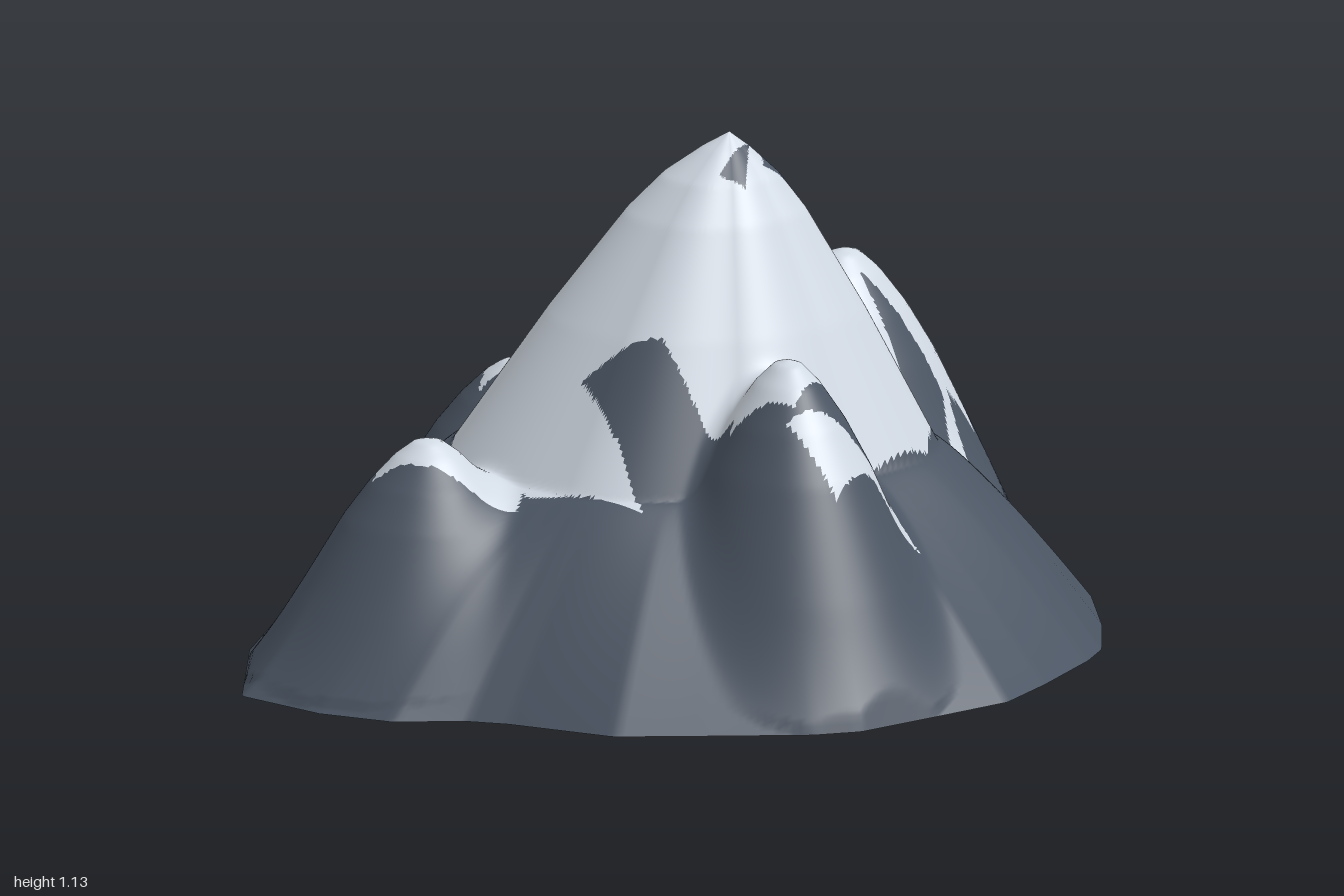
import * as THREE from 'three';

const PEAK = [0.08, 0.14];

// Ground outline, [x, z], running from the back round by +x
const OUTLINE = [[0.16, -0.97], [0.35, -0.82], [0.57, -0.66], [0.67, -0.53], [0.85, -0.38], [0.97, -0.27], [1, -0.2],
  [0.99, 0], [0.97, 0.2], [0.95, 0.34], [0.87, 0.41], [0.82, 0.52], [0.65, 0.7], [0.5, 0.83], [0.41, 0.87],
  [0.2, 0.93], [0.04, 0.965], [-0.15, 0.93], [-0.35, 0.89], [-0.44, 0.83], [-0.6, 0.66], [-0.73, 0.52],
  [-0.8, 0.28], [-0.84, 0.2], [-0.95, 0.08], [-1, -0.08], [-1, -0.3], [-0.85, -0.42], [-0.7, -0.54],
  [-0.58, -0.56], [-0.4, -0.7], [-0.21, -0.78], [-0.13, -0.86]];

// Radius of the 0.43 high contour round the main peak, every 45 degrees from +x towards +z
const CONTOUR = [0.44, 0.45, 0.38, 0.42, 0.53, 0.6, 0.58, 0.6];

// Side peaks: x, z, height, reach away from the summit, reach sideways
const SIDE_PEAKS = [
  [0.59, 0.02, 0.75, 0.5, 0.4],
  [-0.59, -0.13, 0.54, 0.4, 0.38],
  [-0.13, 0.49, 0.73, 0.46, 0.38],
  [0.2, -0.57, 0.48, 0.41, 0.35],
];

// Snow fields seen from above
const SNOW = [
  [[-0.2, -0.38], [0.04, -0.44], [0.25, -0.45], [0.38, -0.33], [0.52, -0.2], [0.5, 0], [0.57, 0.28], [0.5, 0.34],
    [0.42, 0.42], [0.3, 0.51], [0.05, 0.52], [-0.23, 0.46], [-0.23, 0.22], [-0.32, 0.07], [-0.4, 0.32],
    [-0.48, 0.06], [-0.42, -0.17], [-0.36, -0.27]],
  [[-0.69, -0.2], [-0.56, -0.26], [-0.45, -0.15], [-0.4, 0], [-0.52, 0.06], [-0.6, -0.02], [-0.66, -0.1]],
  [[-0.25, 0.43], [-0.1, 0.38], [0, 0.45], [-0.03, 0.54], [-0.2, 0.57]],
  [[-0.23, 0.57], [-0.08, 0.63], [0.04, 0.64], [0.06, 0.7], [-0.06, 0.67], [-0.21, 0.7]],
  [[0.25, -0.67], [0.28, -0.58], [0.23, -0.44], [0.1, -0.53], [0.17, -0.56], [0.11, -0.6]],
  [[0.47, -0.17], [0.6, -0.19], [0.8, -0.18], [0.81, 0.2], [0.72, 0.2], [0.68, 0.3], [0.56, 0.29], [0.47, 0.03]],
];
// Bare rock showing through the snow
const BARE = [
  [[0.11, 0.21], [0.15, 0.17], [0.34, 0.235], [0.53, 0.32], [0.5, 0.35], [0.3, 0.28]],
  [[0, 0.18], [0.11, 0.17], [0.03, 0.23]],
  [[0.57, 0.08], [0.69, 0.21], [0.62, 0.3], [0.56, 0.27]],
  [[0.46, -0.16], [0.51, -0.02], [0.53, 0.06], [0.47, 0.02]],
  [[0.04, -0.23], [0.19, -0.23], [0.18, -0.12], [0.05, -0.16]],
  [[-0.18, -0.385], [0.04, -0.39], [0.05, -0.31]],
];

// Piecewise linear curve through [t, value] points
function curveAt(points, t) {
  for (let i = 1; i < points.length; i++) {
    const [t0, v0] = points[i - 1], [t1, v1] = points[i];
    if (t <= t1) return v0 + (v1 - v0) * (t - t0) / (t1 - t0);
  }
  return points[points.length - 1][1];
}
const MAIN_PROFILE = [[0, 1.13], [0.1, 1.095], [0.24, 1.035], [0.37, 0.955], [0.65, 0.735], [1, 0.43]];
const SIDE_PROFILE = [[0, 1], [0.08, 0.985], [0.18, 0.93], [0.32, 0.82], [0.46, 0.68], [0.72, 0.36], [1, 0]];

function inside(poly, x, z) {
  let hit = false;
  poly.forEach(([x1, z1], i) => {
    const [x2, z2] = poly[(i + 1) % poly.length];
    if ((z1 > z) !== (z2 > z) && x < x1 + (x2 - x1) * (z - z1) / (z2 - z1)) hit = !hit;
  });
  return hit;
}

function contourRadius(angle) {
  const a = ((angle / (Math.PI / 4)) + 8) % 8, i = Math.floor(a), f = a - i;
  const s = f * f * (3 - 2 * f);
  return CONTOUR[i % 8] * (1 - s) + CONTOUR[(i + 1) % 8] * s;
}

// Larger of two heights, with the valley between them softened
function blend(a, b) {
  const k = 0.09, h = Math.max(k - Math.abs(a - b), 0);
  return Math.max(a, b) + h * h / (4 * k);
}

// Terrain height at a point; edge is the outline radius in that direction
function heightAt(x, z, edge) {
  const dx = x - PEAK[0], dz = z - PEAK[1], r = Math.hypot(dx, dz);
  const snowR = contourRadius(Math.atan2(dz, dx));
  let y = r < snowR ? curveAt(MAIN_PROFILE, r / snowR)
    : 0.02 + 0.41 * (1 - Math.pow((r - snowR) / (edge - snowR), 1.2));
  for (const [px, pz, h, reachOut, reachSide] of SIDE_PEAKS) {
    const ox = px - PEAK[0], oz = pz - PEAK[1], len = Math.hypot(ox, oz);
    const out = ((x - px) * ox + (z - pz) * oz) / len;
    const side = ((x - px) * oz - (z - pz) * ox) / len;
    const d = Math.hypot(out / reachOut, side / reachSide);
    if (d < 1) y = blend(y, h * curveAt(SIDE_PROFILE, d));
  }
  return Math.min(y, 0.02 + (edge - r) * 2.9);
}

export function createModel() {
  const rock = new THREE.MeshStandardMaterial({ color: 0x4b5563 });
  rock.name = 'slate rock';
  const snow = new THREE.MeshStandardMaterial({ color: 0xd1d9e3 });
  snow.name = 'snow';
  const group = new THREE.Group();
  group.name = 'mountain';

  const COLS = 400, RINGS = 150;
  const shape = new THREE.Shape(OUTLINE.map(([x, z]) => new THREE.Vector2(x, z)));
  shape.closePath();
  const rim = shape.getSpacedPoints(COLS).slice(0, COLS);

  // Terrain: rings from the summit out to the ground outline
  const positions = [];
  for (let i = 0; i <= RINGS; i++) {
    const u = i / RINGS;
    for (const p of rim) {
      const x = PEAK[0] + (p.x - PEAK[0]) * u, z = PEAK[1] + (p.y - PEAK[1]) * u;
      const edge = Math.hypot(p.x - PEAK[0], p.y - PEAK[1]);
      positions.push(x, i === RINGS ? 0.02 : heightAt(x, z, edge), z);
    }
  }

  // Sort the faces into rock and snow
  const rockFaces = [], snowFaces = [];
  const addFace = (...f) => {
    const x = (positions[f[0] * 3] + positions[f[1] * 3] + positions[f[2] * 3]) / 3;
    const z = (positions[f[0] * 3 + 2] + positions[f[1] * 3 + 2] + positions[f[2] * 3 + 2]) / 3;
    const white = SNOW.some(p => inside(p, x, z)) && !BARE.some(p => inside(p, x, z));
    (white ? snowFaces : rockFaces).push(...f);
  };
  for (let i = 0; i < RINGS; i++) {
    for (let j = 0; j < COLS; j++) {
      const k = (j + 1) % COLS, a = i * COLS + j, b = i * COLS + k;
      if (i > 0) addFace(a, b, b + COLS);
      addFace(a, b + COLS, a + COLS);
    }
  }
  const terrain = new THREE.BufferGeometry();
  terrain.setAttribute('position', new THREE.Float32BufferAttribute(positions, 3));
  terrain.setIndex(rockFaces.concat(snowFaces));
  terrain.computeVertexNormals();

  // Both colours share the same smooth normals
  for (const [name, faces, material] of [['rockSlopes', rockFaces, rock], ['snowCaps', snowFaces, snow]]) {
    const part = new THREE.BufferGeometry();
    part.setAttribute('position', terrain.getAttribute('position'));
    part.setAttribute('normal', terrain.getAttribute('normal'));
    part.setIndex(faces);
    const mesh = new THREE.Mesh(part, material);
    mesh.name = name;
    group.add(mesh);
  }

  // Underside: a nearly flat fan, lowest in the middle
  const under = [];
  rim.forEach((p, j) => {
    const q = rim[(j + 1) % COLS];
    under.push(0, 0, 0, p.x, 0.02, p.y, q.x, 0.02, q.y);
  });
  const underside = new THREE.BufferGeometry();
  underside.setAttribute('position', new THREE.Float32BufferAttribute(under, 3));
  underside.computeVertexNormals();
  const base = new THREE.Mesh(underside, rock);
  base.name = 'underside';
  group.add(base);

  return group;
}
